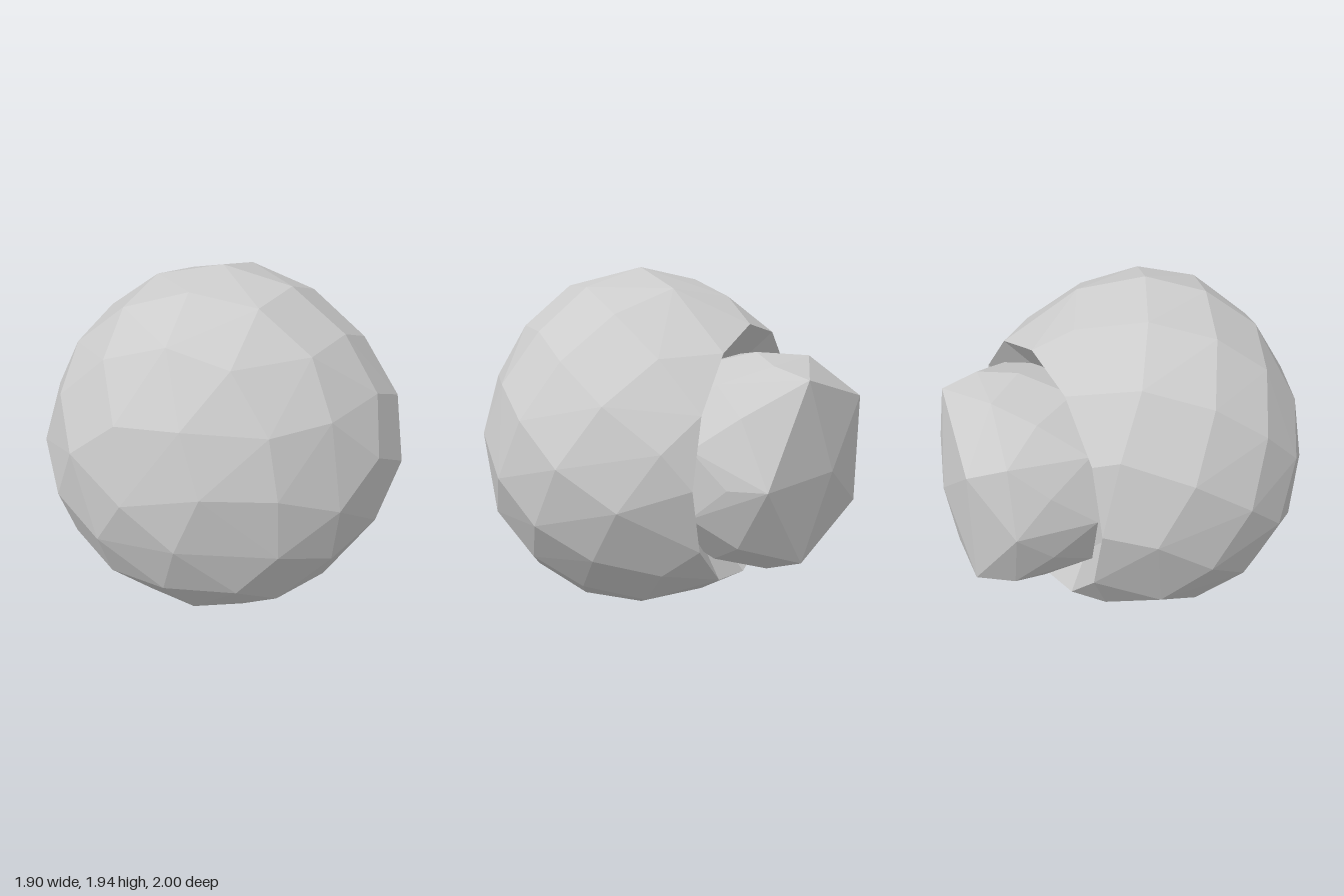
import * as THREE from 'three';
import { ConvexGeometry } from 'three/addons/geometries/ConvexGeometry.js';

const SIDES = 12;      // corners of the body's rear rim
const RIM_Z = -0.69;
const RIM_R = 0.71;

// Ring of points around the z axis
function ring(n, rx, ry, z, phase = 0, cx = 0, cy = 0) {
  return Array.from({ length: n }, (_, i) => {
    const a = phase + (i / n) * Math.PI * 2;
    return new THREE.Vector3(cx + Math.cos(a) * rx, cy + Math.sin(a) * ry, z);
  });
}

// Faceted ball, flatter at the front and cut open at the rear rim
function bodyGeometry() {
  const points = ring(SIDES, RIM_R, RIM_R, RIM_Z);
  const count = 88;
  for (let i = 0; i < count; i++) {
    const w = 1 - (2 * (i + 0.5)) / count;
    const r = Math.sqrt(1 - w * w);
    const a = i * Math.PI * (3 - Math.sqrt(5)) + 0.4;
    // The diagonals are a little flatter, mostly on the left side
    const flat = (Math.cos(a) > 0 ? 0.05 : 0.012) * (r * Math.sin(2 * a)) ** 2;
    const across = r * 0.978 * (1 - flat);
    const depth = w > 0 ? 0.805 : 1;
    const p = new THREE.Vector3(Math.cos(a) * across, Math.sin(a) * across, w * depth);
    if (p.z > -0.6) points.push(p);
  }
  const hull = new ConvexGeometry(points).getAttribute('position');
  const kept = [];
  for (let i = 0; i < hull.count; i += 3) {
    const corners = [i, i + 1, i + 2];
    if (corners.every((k) => hull.getZ(k) < RIM_Z + 0.01)) continue;
    for (const k of corners) kept.push(hull.getX(k), hull.getY(k), hull.getZ(k));
  }
  const geometry = new THREE.BufferGeometry();
  geometry.setAttribute('position', new THREE.Float32BufferAttribute(kept, 3));
  geometry.computeVertexNormals();
  return geometry;
}

// Cone-shaped dish that closes the rear opening
function dishGeometry() {
  const profile = [[RIM_R, RIM_Z], [0.52, RIM_Z + 0.15], [0.001, RIM_Z + 0.15]]
    .map(([r, z]) => new THREE.Vector2(r, z));
  return new THREE.LatheGeometry(profile, SIDES, Math.PI / 2).rotateX(Math.PI / 2);
}

// Blunt faceted knob set in the dish, with a five-sided end
function knobGeometry() {
  return new ConvexGeometry([
    ...ring(10, 0.59, 0.54, -0.32, 0, -0.11, 0.97),
    ...ring(10, 0.61, 0.58, -0.55, Math.PI / 10, -0.1, 0.97),
    ...ring(10, 0.58, 0.58, -0.74, 0, -0.14, 0.97),
    ...ring(5, 0.52, 0.515, -0.93, 0, -0.15, 0.98),
    new THREE.Vector3(-0.15, 0.97, -1),
  ]);
}

export function createModel() {
  const group = new THREE.Group();
  group.name = 'facetedBallWithKnob';
  const material = new THREE.MeshStandardMaterial({
    color: 0xcccccc, flatShading: true, side: THREE.DoubleSide,
  });
  const addMesh = (parent, name, geometry) => {
    const mesh = new THREE.Mesh(geometry, material);
    mesh.name = name;
    parent.add(mesh);
  };

  // The body and its dish are turned slightly to one side
  const ball = new THREE.Group();
  ball.name = 'ball';
  ball.position.set(0, 0.975, 0.195);
  ball.rotation.y = 0.2;
  addMesh(ball, 'ballShell', bodyGeometry());
  addMesh(ball, 'rearDish', dishGeometry());
  group.add(ball);

  addMesh(group, 'rearKnob', knobGeometry());
  return group;
}
